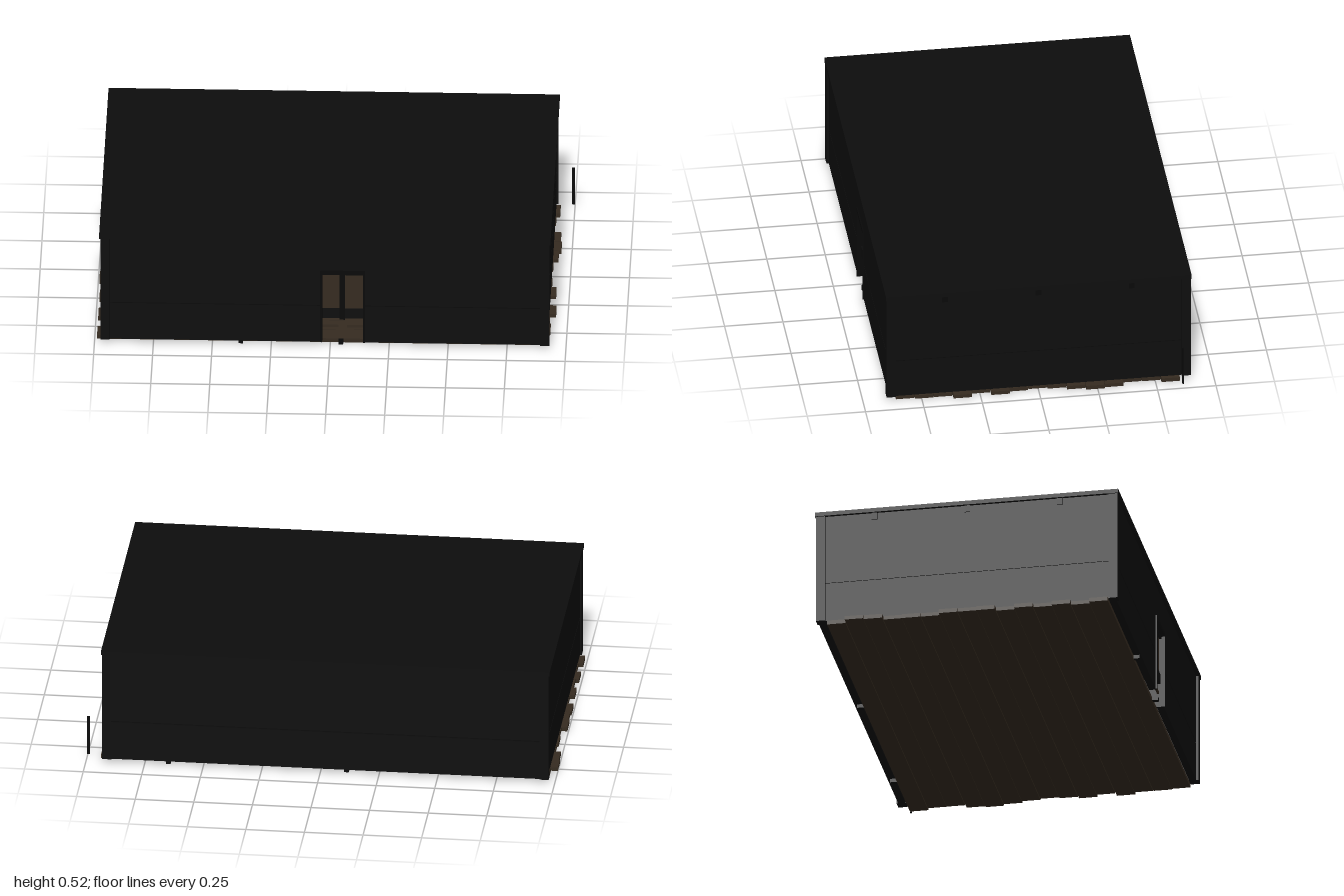
import * as THREE from 'three';

const charcoal = new THREE.MeshStandardMaterial({ name: 'charcoal', color: 0x0d0d0d });
const black = new THREE.MeshStandardMaterial({ name: 'black trim', color: 0x080808 });
const wood = new THREE.MeshStandardMaterial({ name: 'brown wood', color: 0x352b20 });

export function createModel() {
  const model = new THREE.Group();
  model.name = 'cabin';

  // Box given by its lower and upper limits on each axis
  function box(name, x0, x1, y0, y1, z0, z1, material) {
    const mesh = new THREE.Mesh(new THREE.BoxGeometry(x1 - x0, y1 - y0, z1 - z0), material);
    mesh.position.set((x0 + x1) / 2, (y0 + y1) / 2, (z0 + z1) / 2);
    mesh.name = name;
    model.add(mesh);
    return mesh;
  }

  // Floor planks with uneven ends
  const leftEnds = [-0.97, -1, -0.995, -0.97, -0.975, -0.97, -0.995, -0.99, -0.995, -0.97, -0.99, -0.975, -0.99, -0.97, -0.99];
  const rightEnds = [0.94, 0.925, 0.92, 0.95, 0.955, 0.945, 0.925, 0.92, 0.925, 0.945, 0.92, 0.95, 0.925, 0.93, 0.92];
  leftEnds.forEach((x0, i) => {
    const z = -0.604 + i * 0.081;
    box('floorPlank', x0, rightEnds[i], i % 2 ? 0.002 : 0, 0.018, z, z + 0.079, wood);
  });

  // Walls in two courses with a narrow groove between them
  const courses = [[0.018, 0.189], [0.195, 0.507]];
  for (const [y0, y1] of courses) {
    box('backWall', -0.965, 0.92, y0, y1, -0.645, -0.615, charcoal);
    box('leftWall', 0.89, 0.922, y0, y1, -0.63, 0.63, charcoal);
    box('rightWall', -0.967, -0.935, y0, y1, -0.63, 0.63, charcoal);
    box('frontWall', -0.965, -0.04, y0, y1, 0.61, 0.64, charcoal);
    box('frontWall', 0.145, 0.92, y0, y1, 0.61, 0.64, charcoal);
  }
  box('wallOverDoor', -0.04, 0.145, 0.36, 0.507, 0.61, 0.64, charcoal);

  // Groove backing behind the courses
  box('backGroove', -0.96, 0.915, 0.185, 0.2, -0.641, -0.62, black);
  box('leftGroove', 0.895, 0.918, 0.185, 0.2, -0.62, 0.62, black);
  box('rightGroove', -0.963, -0.94, 0.185, 0.2, -0.62, 0.62, black);
  box('frontGroove', -0.96, -0.04, 0.185, 0.2, 0.615, 0.636, black);
  box('frontGroove', 0.145, 0.915, 0.185, 0.2, 0.615, 0.636, black);

  // Corner posts
  for (const x of [-0.975, 0.89]) {
    for (const z of [-0.652, 0.61]) box('cornerPost', x, x + 0.04, 0.018, 0.507, z, z + 0.04, charcoal);
  }

  // Flat roof and rafter ends beneath it
  box('roof', -0.98, 0.935, 0.505, 0.523, -0.655, 0.653, charcoal);
  for (const z of [-0.4, 0, 0.4]) {
    box('rafter', -0.972, 0.928, 0.475, 0.506, z - 0.012, z + 0.012, black);
  }

  // Door frame
  box('doorJamb', -0.042, -0.034, 0.018, 0.36, 0.605, 0.645, black);
  box('doorJamb', 0.14, 0.148, 0.018, 0.36, 0.605, 0.645, black);
  box('doorLintel', -0.042, 0.148, 0.345, 0.362, 0.605, 0.645, black);

  // Door leaf: two tall panels over an open lower half
  box('doorTopRail', -0.034, 0.14, 0.335, 0.346, 0.608, 0.63, black);
  box('doorMullion', 0.04, 0.062, 0.12, 0.336, 0.608, 0.63, black);
  box('doorMiddleRail', -0.034, 0.14, 0.125, 0.17, 0.612, 0.626, charcoal);
  box('doorPanel', -0.034, 0.04, 0.168, 0.336, 0.612, 0.62, wood);
  box('doorPanel', 0.062, 0.14, 0.168, 0.336, 0.612, 0.62, wood);
  box('doorSlat', -0.034, 0.035, 0.078, 0.09, 0.612, 0.62, wood);
  box('doorSlat', 0.07, 0.14, 0.078, 0.09, 0.612, 0.62, wood);

  // Small footings along the long sides
  for (const x of [-0.38, 0.045]) box('frontFooting', x - 0.01, x + 0.01, 0.002, 0.019, 0.61, 0.635, black);
  for (const x of [-0.11, 0.65]) box('backFooting', x - 0.01, x + 0.01, 0.002, 0.019, -0.635, -0.604, black);

  // Loose upright slat beside the cabin
  box('looseSlat', 0.987, 1, 0.02, 0.195, -0.613, -0.607, black);

  return model;
}
